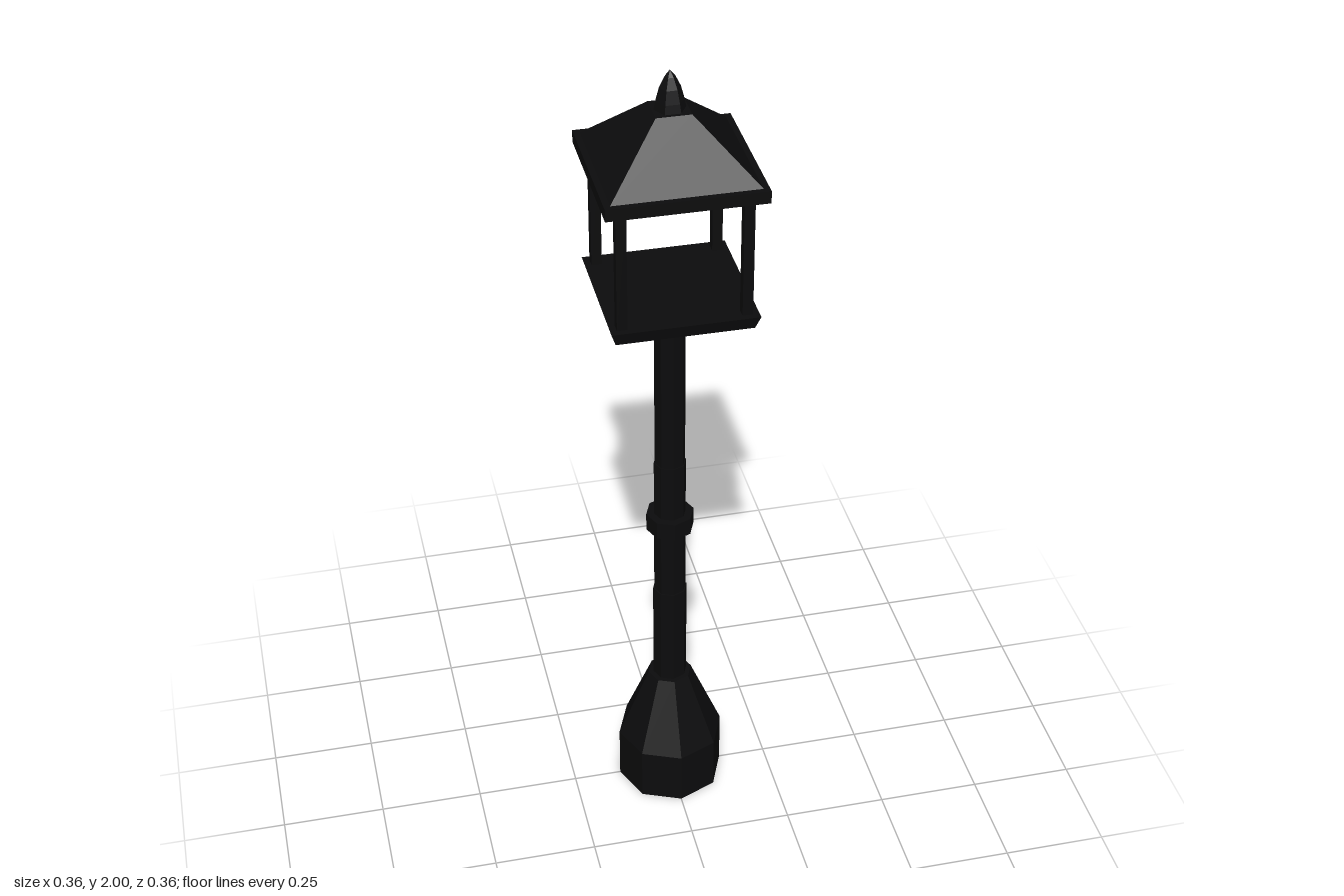
import * as THREE from 'three';

export function createModel() {
  const group = new THREE.Group();
  group.name = 'streetLamp';

  const blackIron = new THREE.MeshStandardMaterial({ color: 0x0c0c0d, flatShading: true });
  blackIron.name = 'blackIron';

  const add = (name, geometry, y = 0, x = 0, z = 0) => {
    const mesh = new THREE.Mesh(geometry, blackIron);
    mesh.name = name;
    mesh.position.set(x, y, z);
    group.add(mesh);
    return mesh;
  };

  // Eight-sided section between two heights
  const octagon = (name, y0, y1, rBottom, rTop = rBottom) =>
    add(name, new THREE.CylinderGeometry(rTop, rBottom, y1 - y0, 8), (y0 + y1) / 2);

  // Square section with sloping sides, given by half widths
  const square = (name, y0, y1, hBottom, hTop = hBottom) => {
    const g = new THREE.CylinderGeometry(hTop * Math.SQRT2, hBottom * Math.SQRT2, y1 - y0, 4);
    g.rotateY(Math.PI / 4);
    return add(name, g, (y0 + y1) / 2);
  };

  // Foot
  octagon('foot', 0, 0.14, 0.132);
  octagon('footTaper', 0.14, 0.33, 0.132, 0.054);

  // Stepped post with a ring
  octagon('lowerPost', 0.33, 0.6, 0.042);
  octagon('middlePost', 0.6, 0.98, 0.039);
  octagon('upperPost', 0.98, 1.365, 0.037);
  octagon('postNeck', 1.365, 1.39, 0.034);
  octagon('postRing', 0.785, 0.83, 0.058);

  // Collar under the lantern
  octagon('lowerCollar', 1.39, 1.41, 0.057);
  octagon('upperCollar', 1.41, 1.43, 0.064);

  // Lantern tray and corner bars
  square('lanternTray', 1.43, 1.463, 0.157, 0.168);
  for (const sx of [-1, 1]) {
    for (const sz of [-1, 1]) {
      add('cornerBar', new THREE.BoxGeometry(0.024, 0.3, 0.024), 1.61, sx * 0.141, sz * 0.141);
    }
  }

  // Roof
  square('roofEave', 1.755, 1.784, 0.18);
  square('roof', 1.784, 1.91, 0.166, 0.04);

  // Six-sided pointed finial
  const profile = [[0.037, 1.905], [0.032, 1.93], [0.024, 1.96], [0.012, 1.985], [0, 2]]
    .map(([r, y]) => new THREE.Vector2(r, y));
  const finial = new THREE.LatheGeometry(profile, 6, Math.PI / 2);
  add('finial', finial);

  return group;
}
